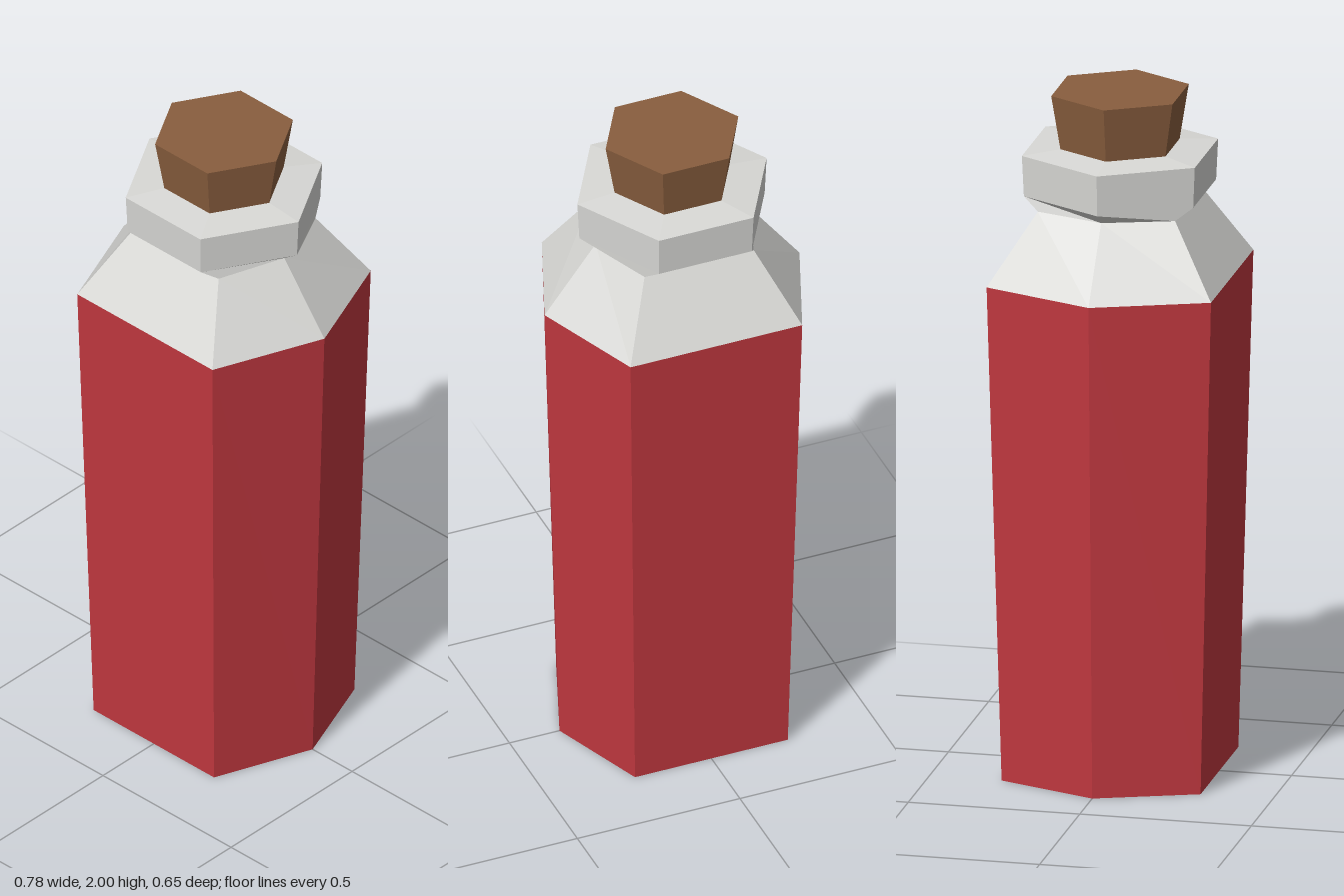
import * as THREE from 'three';

// Six-sided ring: side tips at x = +-tip, front and back corners at (+-cx, +-cz)
const ring = (y, tip, cx, cz) => [
  [tip, y, 0], [cx, y, cz], [-cx, y, cz],
  [-tip, y, 0], [-cx, y, -cz], [cx, y, -cz],
];
// Regular hexagonal ring
const hex = (y, r) => ring(y, r, r / 2, r * 0.866);

// Faceted solid through a stack of rings, listed from the bottom up
function loft(rings, capBottom, capTop) {
  const pos = [];
  const tri = (...points) => points.forEach((p) => pos.push(...p));
  for (let k = 0; k < rings.length - 1; k++) {
    const lower = rings[k], upper = rings[k + 1];
    for (let i = 0; i < 6; i++) {
      const j = (i + 1) % 6;
      tri(lower[i], upper[i], upper[j]);
      tri(lower[i], upper[j], lower[j]);
    }
  }
  const bottom = rings[0], top = rings[rings.length - 1];
  for (let i = 1; i < 5; i++) {
    if (capBottom) tri(bottom[0], bottom[i], bottom[i + 1]);
    if (capTop) tri(top[0], top[i + 1], top[i]);
  }
  const geometry = new THREE.BufferGeometry();
  geometry.setAttribute('position', new THREE.Float32BufferAttribute(pos, 3));
  geometry.computeVertexNormals(); // unshared corners keep every facet flat
  return geometry;
}

export function createModel() {
  const material = (name, color) => {
    const m = new THREE.MeshStandardMaterial({ color });
    m.name = name;
    return m;
  };
  const red = material('red liquid', 0xc0383f);
  const glass = material('pale grey glass', 0xd8d8d5);
  const brown = material('brown cork', 0x895e3e);

  const group = new THREE.Group();
  group.name = 'bottle';
  const add = (name, geometry, mat) => {
    const mesh = new THREE.Mesh(geometry, mat);
    mesh.name = name;
    group.add(mesh);
  };

  const shoulderBase = ring(1.47, 0.392, 0.264, 0.327);
  const neck = ring(1.675, 0.235, 0.168, 0.2);

  // Filled body, widening slightly upwards
  add('body', loft([ring(0, 0.346, 0.235, 0.29), shoulderBase], true, false), red);
  // Sloping shoulder
  add('shoulder', loft([shoulderBase, neck], false, false), glass);
  // Lip flaring out from the neck, its top rising a little to the cork
  add('lip', loft([neck, hex(1.71, 0.285), hex(1.83, 0.291), hex(1.84, 0.176)], false, true), glass);
  // Tapered stopper, set into the lip
  add('cork', loft([hex(1.8, 0.17), hex(2, 0.204)], true, true), brown);

  return group;
}
